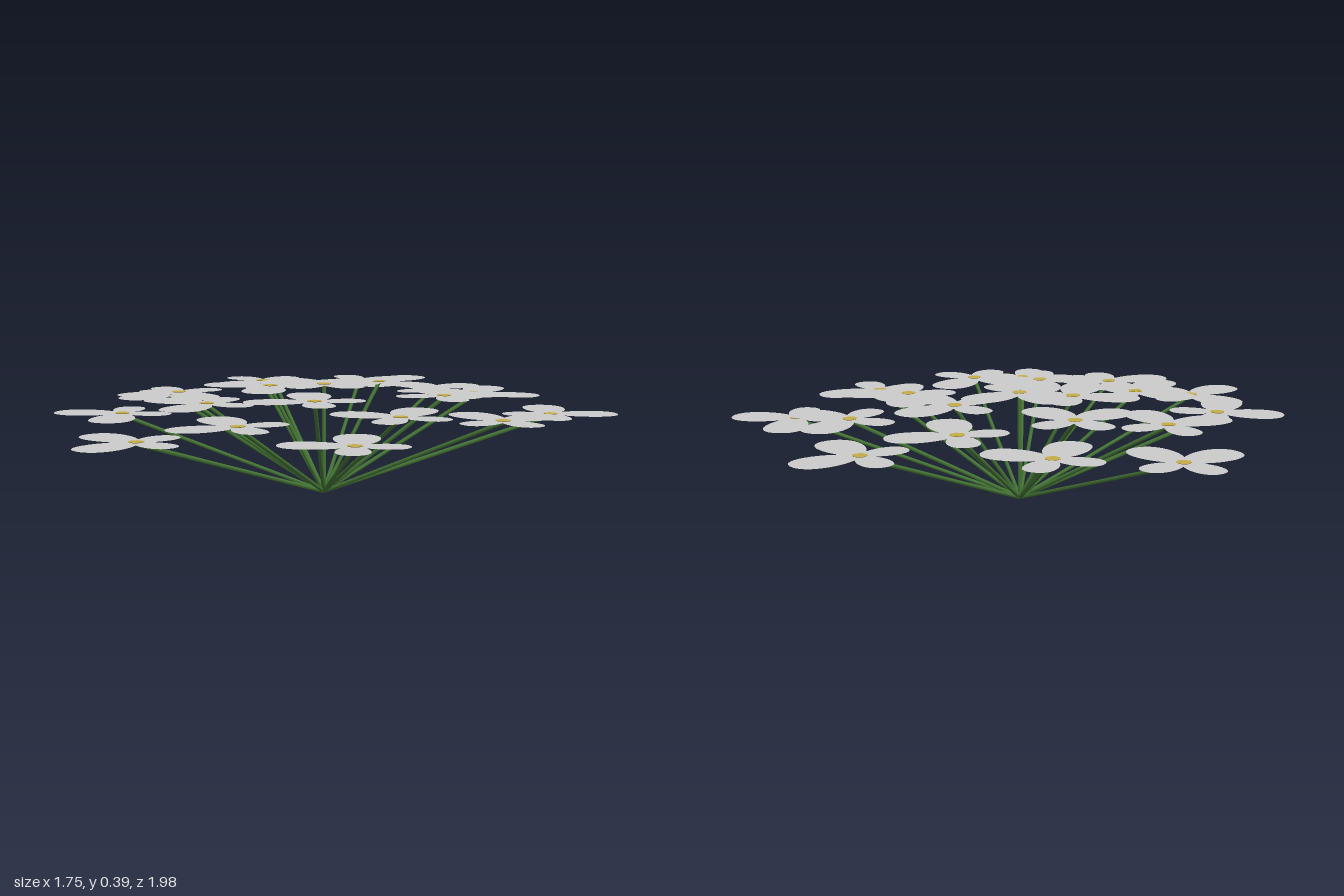
import * as THREE from 'three';

const material = (color, extra = {}) => new THREE.MeshStandardMaterial({ color, ...extra });

// Flat, nearly elliptical petal lying in the horizontal plane along +x
function petalGeometry(l) {
  const s = new THREE.Shape();
  s.moveTo(0, 0);
  s.bezierCurveTo(0.17 * l, -0.36 * l, l, -0.48 * l, l, 0);
  s.bezierCurveTo(l, 0.48 * l, 0.17 * l, 0.36 * l, 0, 0);
  return new THREE.ShapeGeometry(s, 14).rotateX(-Math.PI / 2);
}

export function createModel() {
  const group = new THREE.Group();
  const petalMat = material(0xcccccc, { side: THREE.DoubleSide });
  const stemMat = material(0x457536);
  const centreMat = material(0xc4ac48, { flatShading: true });

  const largePetal = petalGeometry(0.233);
  const smallPetal = petalGeometry(0.168);
  const centreGeo = new THREE.CylinderGeometry(0.026, 0.012, 0.011, 8);
  const base = new THREE.Vector3(0.055, 0.006, -0.05);
  const up = new THREE.Vector3(0, 1, 0);
  const goldenAngle = THREE.MathUtils.degToRad(137.508);

  // Turn of each flower's first large petal in degrees, from the middle outward
  const turns = [180, -54, 93, 231, 0, 144, -73, 64, 201, -15,
    114, 248, 30, 168, -53, 84, 219, -2, 134, -88];

  turns.forEach((turn, n) => {
    // Heads spiral outward from the middle, forming a shallow dome
    const r = 0.1854 * Math.sqrt(n);
    const x = base.x + r * Math.cos(n * goldenAngle);
    const z = base.z + r * Math.sin(n * goldenAngle);
    const y = 0.385 - 0.0059 * n;

    // Straight stem from the shared base to the head
    const dir = new THREE.Vector3(x, y - 0.008, z).sub(base);
    const stem = new THREE.Mesh(new THREE.CylinderGeometry(0.007, 0.007, dir.length(), 6), stemMat);
    stem.name = 'stem';
    stem.position.copy(base).addScaledVector(dir, 0.5);
    stem.quaternion.setFromUnitVectors(up, dir.normalize());
    group.add(stem);

    const flower = new THREE.Group();
    flower.name = 'flower';
    flower.position.set(x, y, z);
    flower.rotation.y = THREE.MathUtils.degToRad(turn);

    // Two large petals side by side, two small ones opposite
    for (let i = 0; i < 4; i++) {
      const petal = new THREE.Mesh(i < 2 ? largePetal : smallPetal, petalMat);
      petal.name = i < 2 ? 'largePetal' : 'smallPetal';
      petal.rotation.y = -i * Math.PI / 2;
      petal.position.y = -0.002;
      flower.add(petal);
    }

    // Small dished centre
    const centre = new THREE.Mesh(centreGeo, centreMat);
    centre.name = 'flowerCentre';
    centre.position.y = -0.0055;
    flower.add(centre);
    group.add(flower);
  });
  return group;
}
